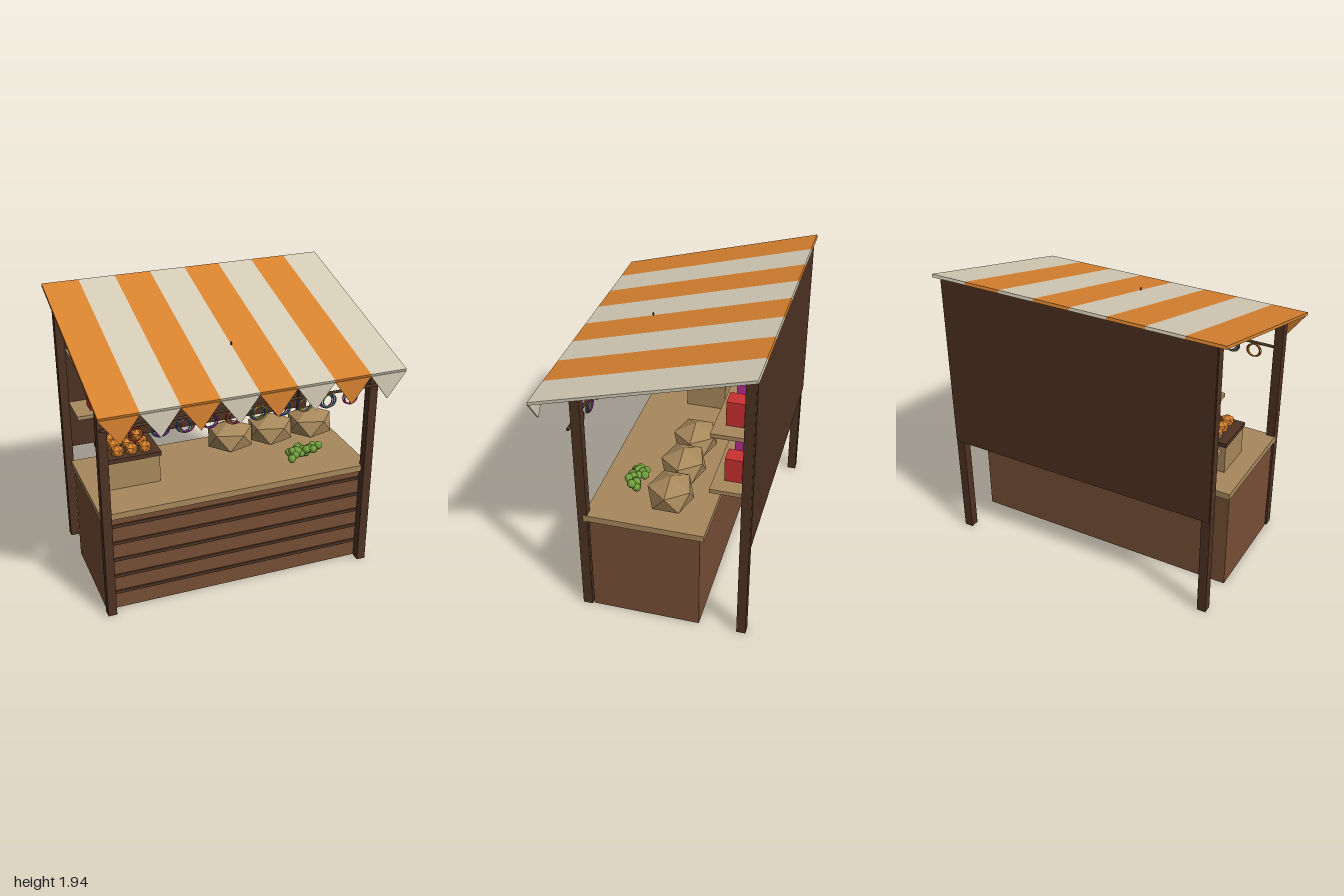
import * as THREE from 'three';

const mat = (name, color, extra = {}) => {
  const m = new THREE.MeshStandardMaterial({ color, ...extra });
  m.name = name;
  return m;
};

export function createModel() {
  const root = new THREE.Group();
  root.name = 'marketStall';
  const dark = mat('darkWood', 0x4e3323);
  const brown = mat('brownWood', 0x774f36);
  const tan = mat('paleWood', 0xa8895c);
  const orange = mat('orange', 0xd9832f);
  const cream = mat('creamCanvas', 0xd6cdb8);
  const red = mat('red', 0xcb3030);
  const yellow = mat('yellow', 0xd9b033);
  const green = mat('green', 0x71a03c);
  const blue = mat('blue', 0x2f5fc4);
  const purple = mat('purple', 0xb52d8c);

  const add = (name, geo, material, x = 0, y = 0, z = 0, parent = root) => {
    const m = new THREE.Mesh(geo, material);
    m.name = name;
    m.position.set(x, y, z);
    parent.add(m);
    return m;
  };
  // Box given by its min and max on each axis
  const box = (name, material, x0, x1, y0, y1, z0, z1) =>
    add(name, new THREE.BoxGeometry(x1 - x0, y1 - y0, z1 - z0), material,
      (x0 + x1) / 2, (y0 + y1) / 2, (z0 + z1) / 2);

  // Posts and back wall
  for (const s of [-1, 1]) {
    box('frontPost', dark, s * 0.92 - 0.03, s * 0.92 + 0.03, 0, 1.6, 0.377, 0.44);
    box('backPost', dark, s * 0.92 - 0.03, s * 0.92 + 0.03, 0, 1.92, -0.662, -0.602);
  }
  box('backWall', dark, -0.945, 0.945, 0.72, 1.92, -0.67, -0.645);

  // Counter with dark battens on its front
  box('counterBody', brown, -0.94, 0.94, 0, 0.706, -0.35, 0.367);
  box('counterTop', tan, -0.952, 0.952, 0.706, 0.75, -0.38, 0.4);
  for (let i = 0; i < 5; i++) {
    const y = 0.128 + i * 0.1275;
    box('counterBatten', dark, -0.935, 0.935, y - 0.011, y + 0.011, 0.36, 0.377);
  }

  // Shelves with coloured boxes
  const goods = [red, yellow, green, blue, purple, red];
  for (const y of [1.07, 1.472]) {
    box('shelf', tan, -0.885, 0.885, y - 0.027, y, -0.645, -0.39);
    goods.forEach((m, i) => {
      const x = -0.722 + i * 0.289;
      box('shelfBox', m, x - 0.055, x + 0.055, y, y + 0.16, -0.567, -0.458);
    });
  }

  // Sloping striped canopy with pointed valance
  const roof = new THREE.Group();
  roof.name = 'canopy';
  roof.position.set(0, 1.748, 0);
  roof.rotation.x = Math.atan2(0.371, 1.36);
  root.add(roof);
  const flag = new THREE.Shape([
    new THREE.Vector2(-0.125, 0), new THREE.Vector2(0, -0.17), new THREE.Vector2(0.125, 0)]);
  const flagGeo = new THREE.ExtrudeGeometry(flag, { depth: 0.01, bevelEnabled: false });
  for (let i = 0; i < 8; i++) {
    const x = -0.875 + i * 0.25;
    const m = i % 2 ? cream : orange;
    add('canopyStripe', new THREE.BoxGeometry(0.25, 0.02, 1.41), m, x, 0, 0, roof);
    add('valanceFlag', flagGeo, m, x, 1.558, 0.675);
  }

  // Crate of oranges
  box('crate', tan, -0.823, -0.46, 0.75, 0.945, -0.175, 0.107);
  box('crateTray', dark, -0.83, -0.45, 0.945, 0.975, -0.185, 0.115);
  const fruit = new THREE.IcosahedronGeometry(0.046, 0);
  fruit.rotateZ(-0.5536);
  for (let i = 0; i < 3; i++) for (let j = 0; j < 3; j++) {
    add('orangeFruit', fruit, orange, -0.733 + i * 0.094, 0.998, 0.048 - j * 0.088);
  }

  // Melons: faceted, standing on a vertex
  const melon = new THREE.IcosahedronGeometry(1, 0);
  melon.rotateZ(-0.5536);
  melon.scale(0.18, 0.124, 0.161);
  melon.computeVertexNormals();
  for (const x of [0.122, 0.425, 0.732]) add('melon', melon, tan, x, 0.878, -0.11);

  // Bunch of grapes
  let seed = 7;
  const rnd = () => (seed = (seed * 16807) % 2147483647) / 2147483647;
  const grape = new THREE.IcosahedronGeometry(0.029, 1);
  for (let i = 0; i < 20; i++) {
    const t = i / 19;
    add('grape', grape, green, 0.455 + t * 0.215,
      0.79 + rnd() * 0.05, 0.165 + (rnd() - 0.5) * 0.1);
  }

  // Rail with hanging bangles
  const rail = add('bangleRail', new THREE.CylinderGeometry(0.01, 0.01, 1.88, 8), dark, 0, 1.38, 0.465);
  rail.rotation.z = Math.PI / 2;
  const bangle = new THREE.TorusGeometry(0.045, 0.005, 6, 20);
  const sets = [[yellow, red], [green, blue, purple], [blue, green, purple], [blue, purple],
    [red, yellow, purple], [green, blue, yellow], [purple, green, blue], [blue, yellow],
    [purple, blue, green], [red, purple]];
  sets.forEach((set, i) => set.forEach((m, k) => {
    add('bangle', bangle, m, -0.725 + i * 0.162 + (k - (set.length - 1) / 2) * 0.012,
      1.325 - (k % 2) * 0.004, 0.46 + k * 0.004);
  }));

  // Hanging lantern
  add('lanternCord', new THREE.CylinderGeometry(0.005, 0.005, 0.29, 6), dark, 0, 1.575, 0.21);
  const lantern = new THREE.IcosahedronGeometry(0.055, 0);
  lantern.rotateZ(-0.5536);
  add('lantern', lantern, tan, 0, 1.402, 0.21);

  return root;
}
